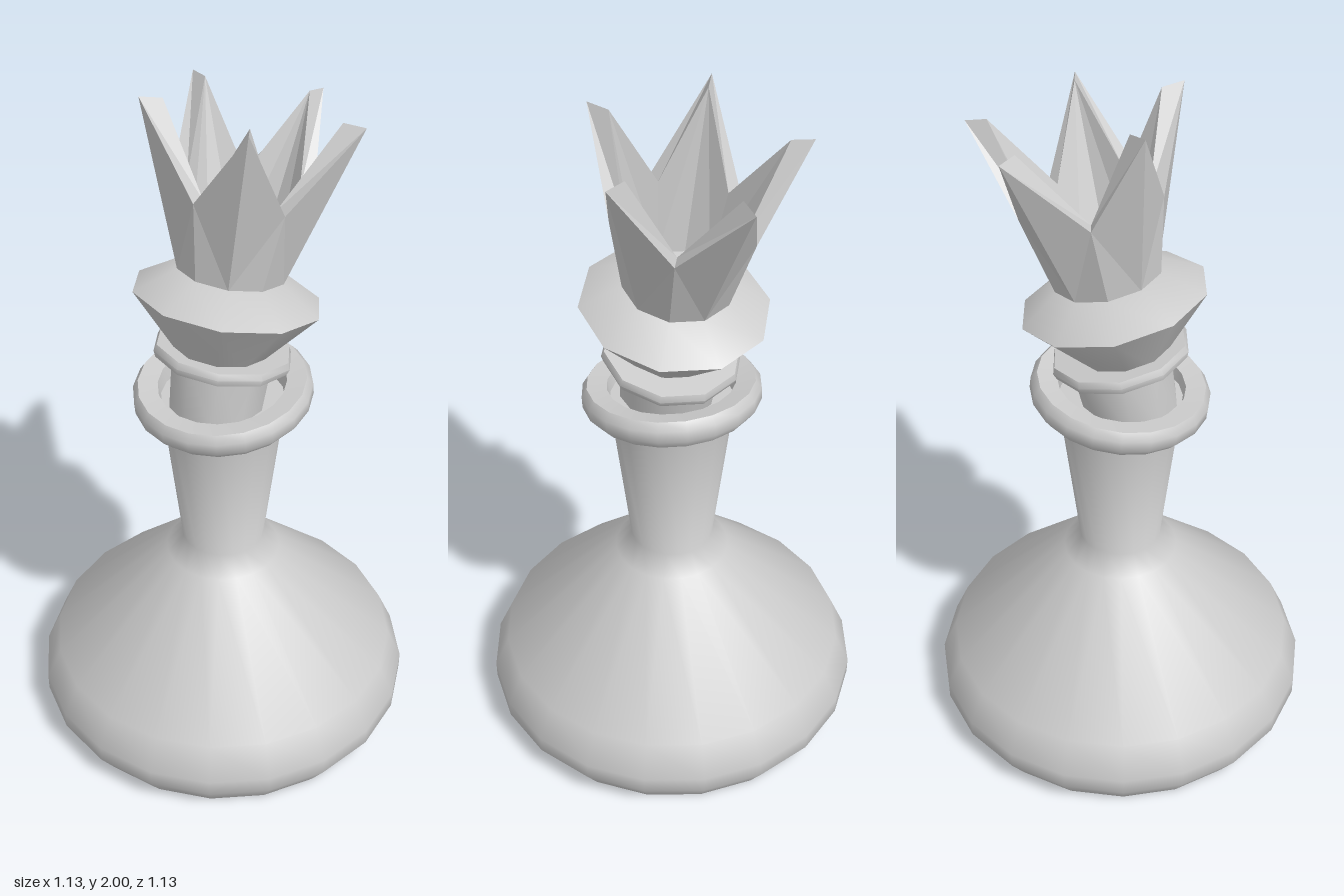
import * as THREE from 'three';
import { toCreasedNormals } from 'three/addons/utils/BufferGeometryUtils.js';

const material = new THREE.MeshStandardMaterial({ color: 0xcccccc });

// Turned part: profile of [radius, height], run upwards on the outside
function turned(name, profile, sides, crease) {
  const points = profile.map(([r, y]) => new THREE.Vector2(r, y));
  const geometry = new THREE.LatheGeometry(points, sides, Math.PI / 2);
  const mesh = new THREE.Mesh(toCreasedNormals(geometry, crease), material);
  mesh.name = name;
  return mesh;
}

// Place a part at (x, y) and lean it sideways, positive towards +x
function lean(mesh, x, y, degrees) {
  mesh.position.set(x, y, 0);
  mesh.rotation.z = -THREE.MathUtils.degToRad(degrees);
  return mesh;
}

// Five-pointed crown: ten-sided loops alternating between tip and valley
function crown() {
  const n = 10;
  // [tip radius, tip height, valley radius, valley height]
  const loops = [
    [0, 0, 0, 0],
    [0.15, 0, 0.15, 0],
    [0.3, 0.458, 0.198, 0.225],
    [0.238, 0.458, 0.157, 0.225],
    [0.12, 0.015, 0.12, 0.015],
    [0, 0.015, 0, 0.015],
  ];
  const corner = (row, i) => {
    const [tr, ty, vr, vy] = loops[row];
    const a = (i / n) * Math.PI * 2;
    const [r, y] = i % 2 ? [vr, vy] : [tr, ty];
    return [r * Math.cos(a), y, -r * Math.sin(a)];
  };
  const positions = [];
  for (let row = 0; row < loops.length - 1; row++) {
    for (let i = 0; i < n; i++) {
      const a = corner(row, i), b = corner(row, i + 1);
      const c = corner(row + 1, i + 1), d = corner(row + 1, i);
      // Mirror the diagonal on alternate sides so each point is symmetric
      const faces = i % 2 ? [a, b, d, b, c, d] : [a, b, c, a, c, d];
      positions.push(...faces.flat());
    }
  }
  const geometry = new THREE.BufferGeometry();
  geometry.setAttribute('position', new THREE.Float32BufferAttribute(positions, 3));
  geometry.computeVertexNormals();
  const mesh = new THREE.Mesh(geometry, material);
  mesh.name = 'crown';
  return mesh;
}

export function createModel() {
  const group = new THREE.Group();
  group.name = 'chessPiece';

  // Wide foot running up into the flared neck
  group.add(turned('body', [
    [0, 0], [0.51, 0], [0.565, 0.085], [0.565, 0.135], [0.52, 0.235],
    [0.17, 0.57], [0.122, 0.625], [0.178, 1.115], [0, 1.115],
  ], 20, 0.9));

  // Loose ring around the top of the neck
  group.add(lean(turned('neckRing', [
    [0.172, -0.04], [0.232, -0.042], [0.254, -0.015], [0.254, 0.018],
    [0.238, 0.04], [0.182, 0.032], [0.172, -0.04],
  ], 20, 0.75), 0, 1.135, -7));

  // Narrow upper neck
  group.add(lean(turned('upperNeck', [
    [0, -0.2], [0.132, -0.2], [0.145, 0], [0, 0],
  ], 10, 0.7), 0, 1.265, 11));

  // Thin ring under the head
  group.add(lean(turned('thinRing', [
    [0.12, -0.018], [0.19, -0.018], [0.197, 0], [0.19, 0.018], [0.12, 0.018], [0.12, -0.018],
  ], 10, 0.75), 0, 1.265, 11.2));

  // Double-cone collar
  group.add(lean(turned('collar', [
    [0, -0.175], [0.115, -0.175], [0.262, 0], [0.15, 0.07], [0, 0.07],
  ], 10, 0.7), 0.018, 1.437, 12.2));

  group.add(lean(crown(), 0.035, 1.505, 11));
  return group;
}
